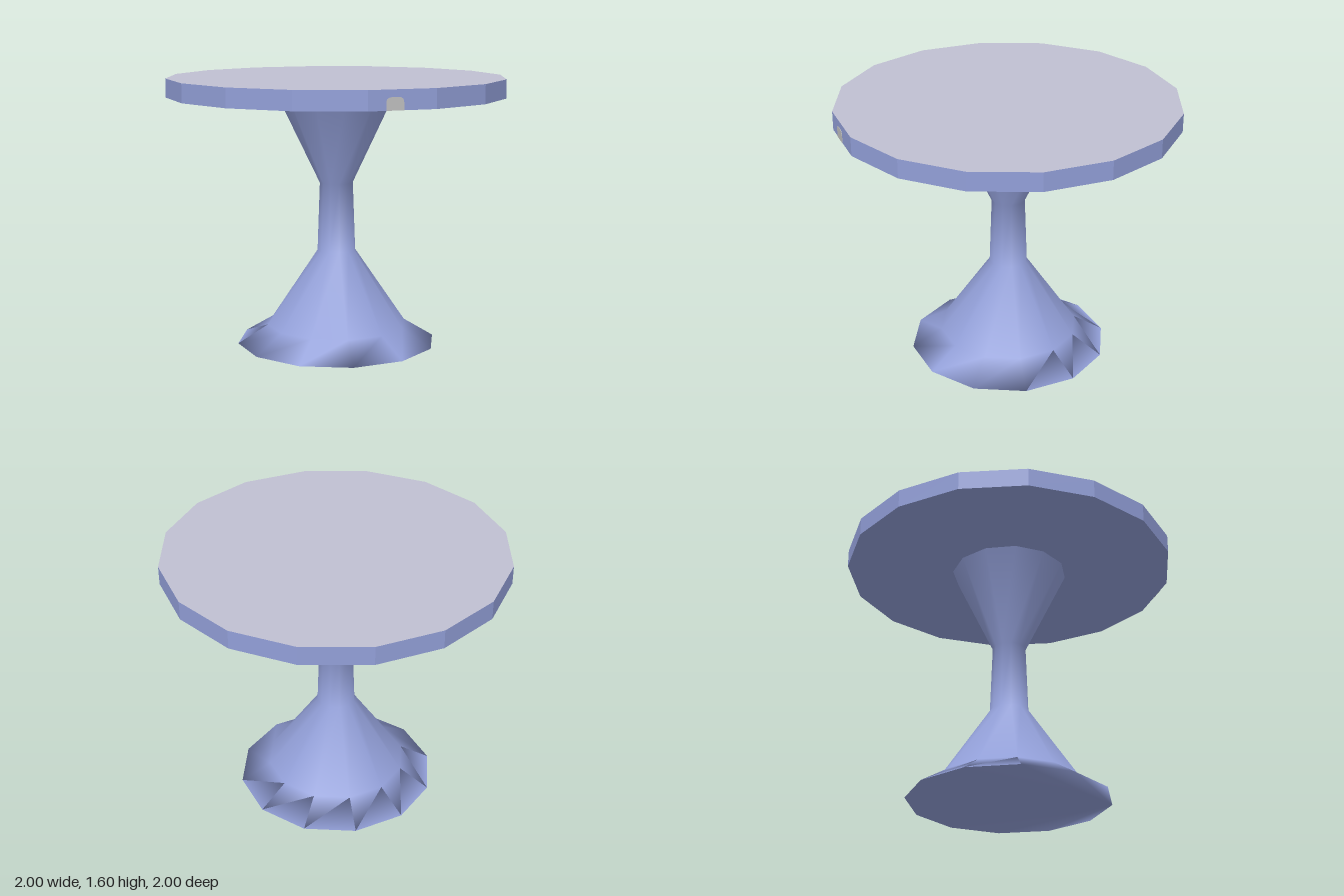
import * as THREE from 'three';

const TOP_Y = 1.6, BOTTOM_Y = 1.49;

// Smooth-shaded stack of polygon rings [radius, height], closed at the foot
function ringStack(rings, sides) {
  const pos = [], index = [];
  for (const [r, y] of rings) {
    for (let i = 0; i < sides; i++) {
      const a = (i / sides) * Math.PI * 2;
      pos.push(r * Math.sin(a), y, r * Math.cos(a));
    }
  }
  for (let k = 0; k < rings.length - 1; k++) {
    for (let i = 0; i < sides; i++) {
      const a = k * sides + i, b = k * sides + ((i + 1) % sides);
      index.push(a, b, b + sides, a, b + sides, a + sides);
    }
  }
  for (let i = 1; i < sides - 1; i++) index.push(0, i + 1, i);
  const geo = new THREE.BufferGeometry();
  geo.setAttribute('position', new THREE.Float32BufferAttribute(pos, 3));
  geo.setIndex(index);
  geo.computeVertexNormals();
  return geo;
}

export function createModel() {
  const blue = new THREE.MeshStandardMaterial({ color: 0x929fd8 });
  blue.name = 'periwinkle blue';
  const pale = new THREE.MeshStandardMaterial({ color: 0xc0c0d2 });
  pale.name = 'pale lavender grey';
  const grey = new THREE.MeshStandardMaterial({ color: 0xc0c0c0 });
  grey.name = 'light grey';

  const group = new THREE.Group();
  group.name = 'pedestalTable';
  const add = (name, geo, mat) => {
    const mesh = new THREE.Mesh(geo, mat);
    mesh.name = name;
    group.add(mesh);
    return mesh;
  };

  // Sixteen-sided top with flat faces: rim, upper face, underside
  const slab = new THREE.CylinderGeometry(1, 1, TOP_Y - BOTTOM_Y, 16).toNonIndexed();
  slab.computeVertexNormals();
  slab.translate(0, (TOP_Y + BOTTOM_Y) / 2, 0);
  add('tableTop', slab, [blue, pale, blue]);

  // Hourglass pedestal with a flared foot
  add('pedestal', ringStack([
    [0.6, 0], [0.42, 0.11], [0.115, 0.56], [0.1, 0.97], [0.35, BOTTOM_Y],
  ], 12), blue);

  // Small round-cornered plate on the front rim
  const w = 0.05, h = 0.07, r = 0.03;
  const shape = new THREE.Shape();
  shape.moveTo(-w, 0);
  shape.lineTo(w, 0);
  shape.lineTo(w, h - r);
  shape.quadraticCurveTo(w, h, w - r, h);
  shape.lineTo(r - w, h);
  shape.quadraticCurveTo(-w, h, -w, h - r);
  const plate = new THREE.ExtrudeGeometry(shape, { depth: 0.003, bevelEnabled: false, curveSegments: 4 });
  plate.translate(-0.042, BOTTOM_Y, Math.cos(Math.PI / 16) - 0.001);
  plate.rotateY(Math.PI / 16);
  add('rimPlate', plate, grey);

  return group;
}
